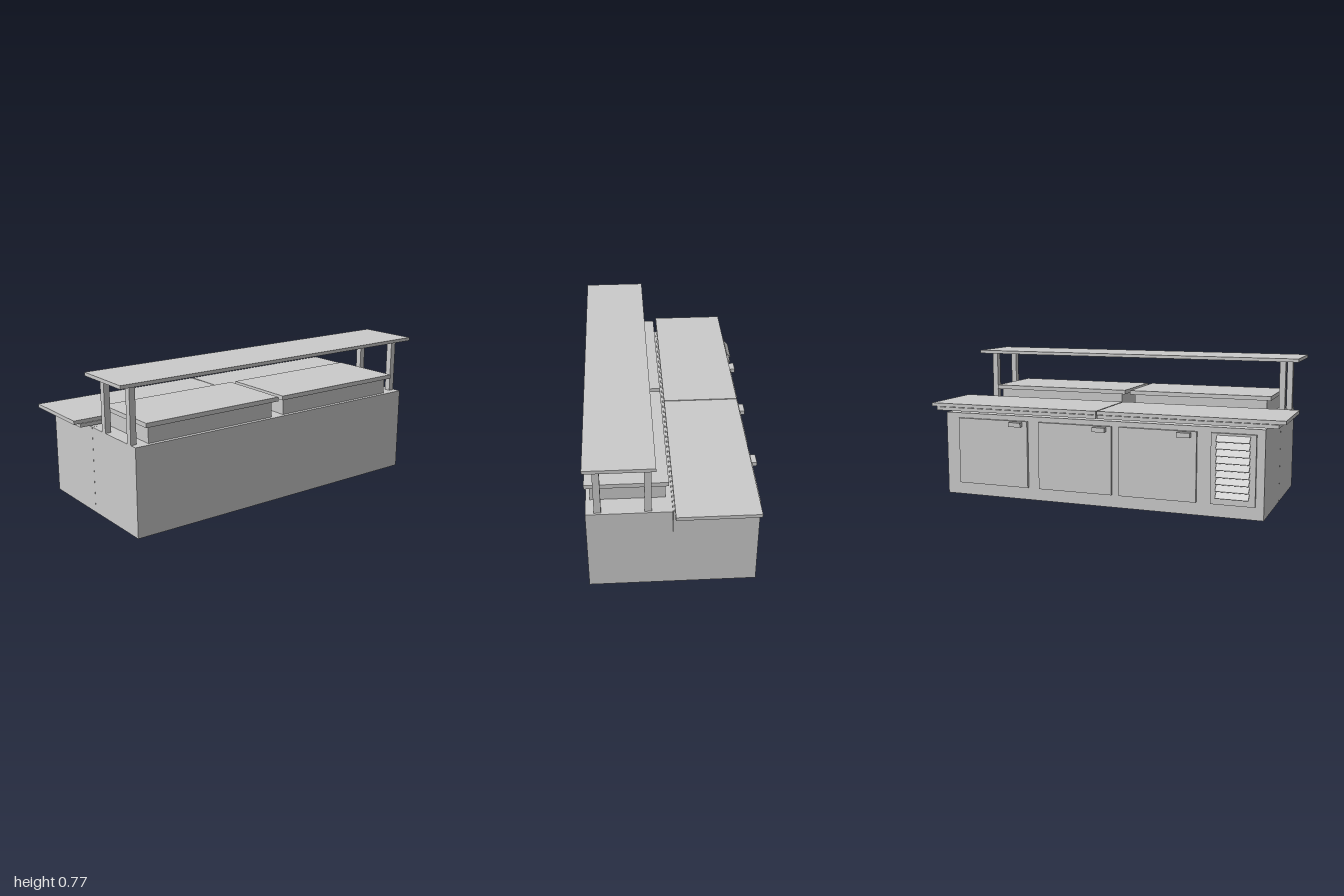
import * as THREE from 'three';

export function createModel() {
  const model = new THREE.Group();
  model.name = 'servingCounter';
  const counter = new THREE.Group();
  counter.name = 'counter';
  counter.rotation.y = -0.032; // the counter stands slightly askew
  model.add(counter);
  const material = new THREE.MeshStandardMaterial({ color: 0xcccccc, flatShading: true });

  // Box given by its limits along each axis
  function box(name, x0, x1, y0, y1, z0, z1) {
    const mesh = new THREE.Mesh(new THREE.BoxGeometry(x1 - x0, y1 - y0, z1 - z0), material);
    mesh.position.set((x0 + x1) / 2, (y0 + y1) / 2, (z0 + z1) / 2);
    mesh.name = name;
    counter.add(mesh);
    return mesh;
  }

  // Cabinet in two halves
  box('frontCabinet', -0.906, 0.888, 0, 0.46, 0.019, 0.441);
  box('backCabinet', -0.906, 0.888, 0, 0.46, -0.404, 0.018);

  // Layered worktops with a narrow joint
  for (const [a, b, edge] of [[-1.003, -0.013, -0.968], [-0.007, 0.987, 0.955]]) {
    box('worktop', a, b, 0.488, 0.507, -0.398, 0.0115);
    const left = edge < 0;
    box('worktopUnderlay', left ? edge : b - 0.994, left ? b : edge, 0.467, 0.486, -0.397, 0.0115);
  }

  // Raised units with overhanging lids
  for (const [a, b] of [[-0.847, -0.043], [-0.013, 0.8]]) {
    box('raisedUnit', a + 0.025, b - 0.025, 0.46, 0.547, 0.05, 0.42);
    box('raisedLid', a, b, 0.547, 0.57, 0.034, 0.445);
  }

  // Overhead shelf on four posts
  box('overheadShelf', -0.977, 0.949, 0.752, 0.77, 0.101, 0.442);
  for (const x of [-0.89, 0.861]) {
    for (const z of [0.138, 0.382]) {
      box('shelfPost', x - 0.016, x + 0.016, 0.46, 0.752, z - 0.017, z + 0.017);
    }
  }

  // Back doors with handles
  for (const [a, b] of [[0.385, 0.803], [-0.1, 0.318], [-0.56, -0.142]]) {
    box('door', a, b, 0.068, 0.433, -0.419, -0.403);
    box('doorHandle', a + 0.028, a + 0.098, 0.404, 0.428, -0.446, -0.418);
  }

  // Vent panel with sloping louvres
  box('ventPanel', -0.864, -0.634, 0.068, 0.433, -0.418, -0.403);
  for (let i = 0; i < 9; i++) {
    const y = 0.105 + i * 0.036;
    const slat = box('ventLouvre', -0.835, -0.665, y + 0.012, y + 0.016, -0.451, -0.411);
    slat.rotation.x = -Math.PI / 4;
  }
  return model;
}
